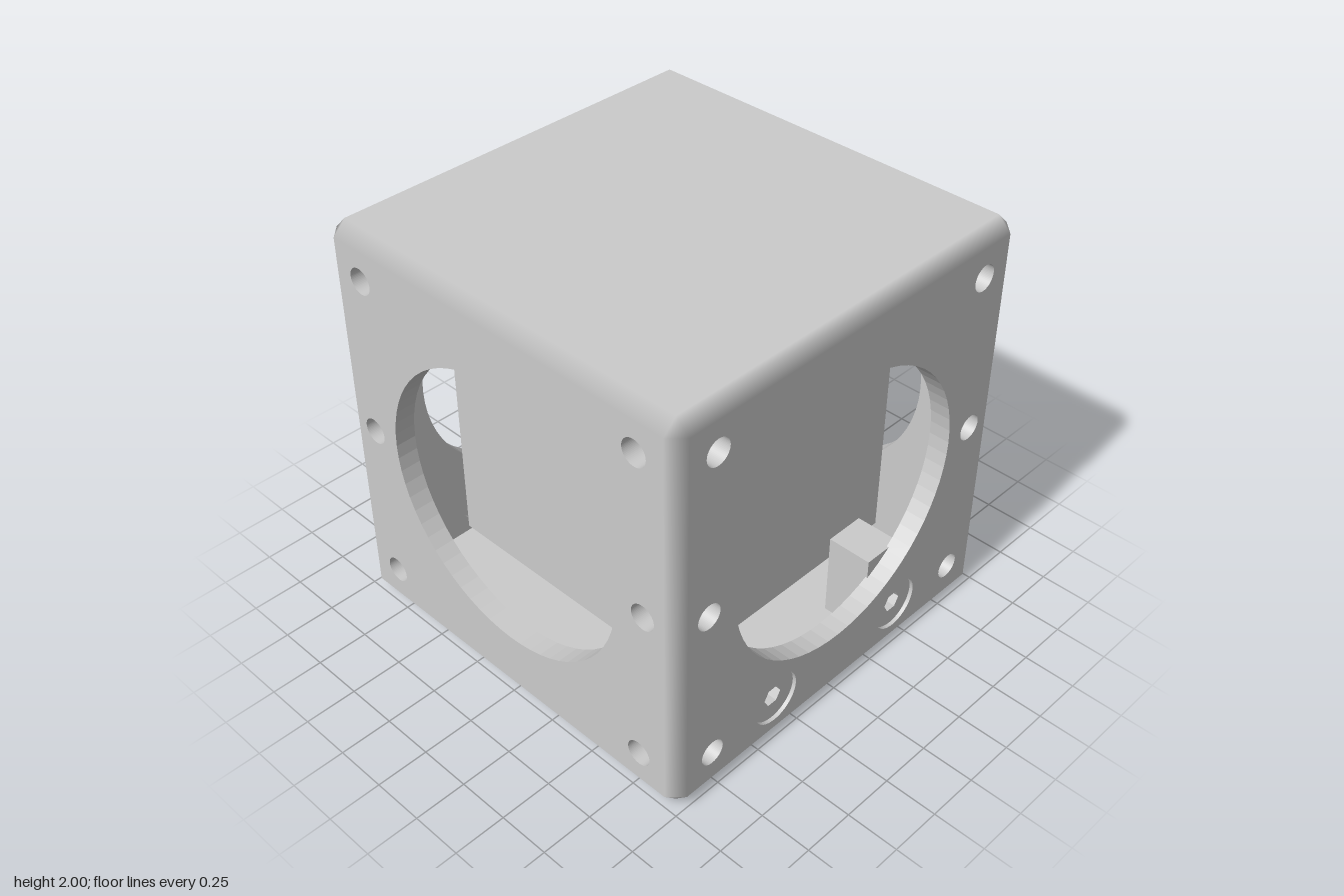
import * as THREE from 'three';

const grey = new THREE.MeshStandardMaterial({ color: 0xcccccc, side: THREE.DoubleSide });
const C = 0.065;        // chamfer size
const H = 1 - C;        // half size of the flat faces

function add(parent, name, geometry, x = 0, y = 0, z = 0) {
  const mesh = new THREE.Mesh(geometry, grey);
  mesh.name = name;
  mesh.position.set(x, y, z);
  parent.add(mesh);
  return mesh;
}

function circle(x, y, r) {
  return new THREE.Path().absarc(x, y, r, 0, Math.PI * 2, true);
}

// Flat square panel facing +z, its outside at z = 1
function panel(thickness, holes) {
  const shape = new THREE.Shape([[-H, -H], [H, -H], [H, H], [-H, H]].map(p => new THREE.Vector2(...p)));
  shape.holes.push(...holes);
  return new THREE.ExtrudeGeometry(shape, { depth: thickness, bevelEnabled: false, curveSegments: 32 })
    .translate(0, 0, 1 - thickness);
}

// Floor that closes a round hole
function holeFloor(parent, x, y, r, depth) {
  add(parent, 'holeFloor', new THREE.CylinderGeometry(r + 0.02, r + 0.02, 0.02, 24).rotateX(Math.PI / 2), x, y, 0.99 - depth);
}

// Recessed round screw head with a hexagonal socket
function screwHead(parent, x, y) {
  const disc = new THREE.Shape().absarc(x, y, 0.13, 0, Math.PI * 2, false);
  const hex = [];
  for (let i = 0; i < 6; i++) {
    const a = -i * Math.PI / 3;
    hex.push(new THREE.Vector2(x + 0.05 * Math.cos(a), y + 0.05 * Math.sin(a)));
  }
  disc.holes.push(new THREE.Path(hex));
  add(parent, 'screwHead', new THREE.ExtrudeGeometry(disc, { depth: 0.06, bevelEnabled: false, curveSegments: 32 }), 0, 0, 0.922);
  add(parent, 'socketFloor', new THREE.CircleGeometry(0.06, 24), x, y, 0.93);
}

export function createModel() {
  const model = new THREE.Group();
  model.name = 'cubeHousing';
  const body = new THREE.Group();
  body.name = 'housingBody';
  body.position.y = 1;
  model.add(body);

  // Six fixing holes around each window: x, y from the middle of the face
  const fixings = [];
  for (const s of [-1, 1]) fixings.push([s * 0.787, 0.79], [s * 0.82, 0.005], [s * 0.787, -0.785]);

  // Four side walls with a round window
  for (let i = 0; i < 4; i++) {
    const side = new THREE.Group();
    side.name = ['frontSide', 'leftSide', 'backSide', 'rightSide'][i];
    side.rotation.y = i * Math.PI / 2;
    body.add(side);
    const holes = [circle(0, 0.005, 0.673), ...fixings.map(([x, y]) => circle(x, y, 0.062))];
    if (i % 2) {
      for (const x of [-0.4, 0.4]) {
        holes.push(circle(x, -0.76, 0.13));
        screwHead(side, x, -0.76);
      }
    }
    add(side, 'windowWall', panel(0.1, holes));
    for (const [x, y] of fixings) holeFloor(side, x, y, 0.062, 0.1);
  }

  // Solid inner cube on its pedestal
  add(body, 'innerCube', new THREE.BoxGeometry(1.33, 1.325, 1.33), 0, 0.01, 0);
  add(body, 'pedestal', new THREE.BoxGeometry(0.54, 0.3, 0.54), 0, -0.79, 0);

  // Screw blocks standing on the base inside the side walls
  for (const s of [-1, 1]) add(body, 'screwBlock', new THREE.BoxGeometry(0.22, 0.43, 0.2), s * 0.8, -0.72, -0.4);

  // Top panel and base with its central hole
  add(body, 'topPanel', panel(0.07, [])).rotation.x = -Math.PI / 2;
  const base = new THREE.Group();
  base.name = 'base';
  base.rotation.x = Math.PI / 2;
  body.add(base);
  add(base, 'basePanel', panel(0.07, [circle(0, 0, 0.045)]));
  holeFloor(base, 0, 0, 0.045, 0.07);

  // Chamfered edges along the three axes, shaded softly into the walls
  const edge = new THREE.CylinderGeometry(C, C, 2 * H, 1, 1, true, 0, Math.PI / 2).translate(H, 0, H);
  for (const [rx, rz] of [[0, 0], [Math.PI / 2, 0], [0, Math.PI / 2]]) {
    const set = new THREE.Group();
    set.name = 'edgeSet';
    set.rotation.set(rx, 0, rz);
    body.add(set);
    for (let i = 0; i < 4; i++) add(set, 'chamferedEdge', edge).rotation.y = i * Math.PI / 2;
  }

  // Cut corners, shaded softly like the edges
  const corner = new THREE.OctahedronGeometry(C);
  corner.setAttribute('normal', corner.attributes.position.clone());
  corner.normalizeNormals();
  for (const x of [-H, H]) for (const y of [-H, H]) for (const z of [-H, H]) add(body, 'corner', corner, x, y, z);

  return model;
}
